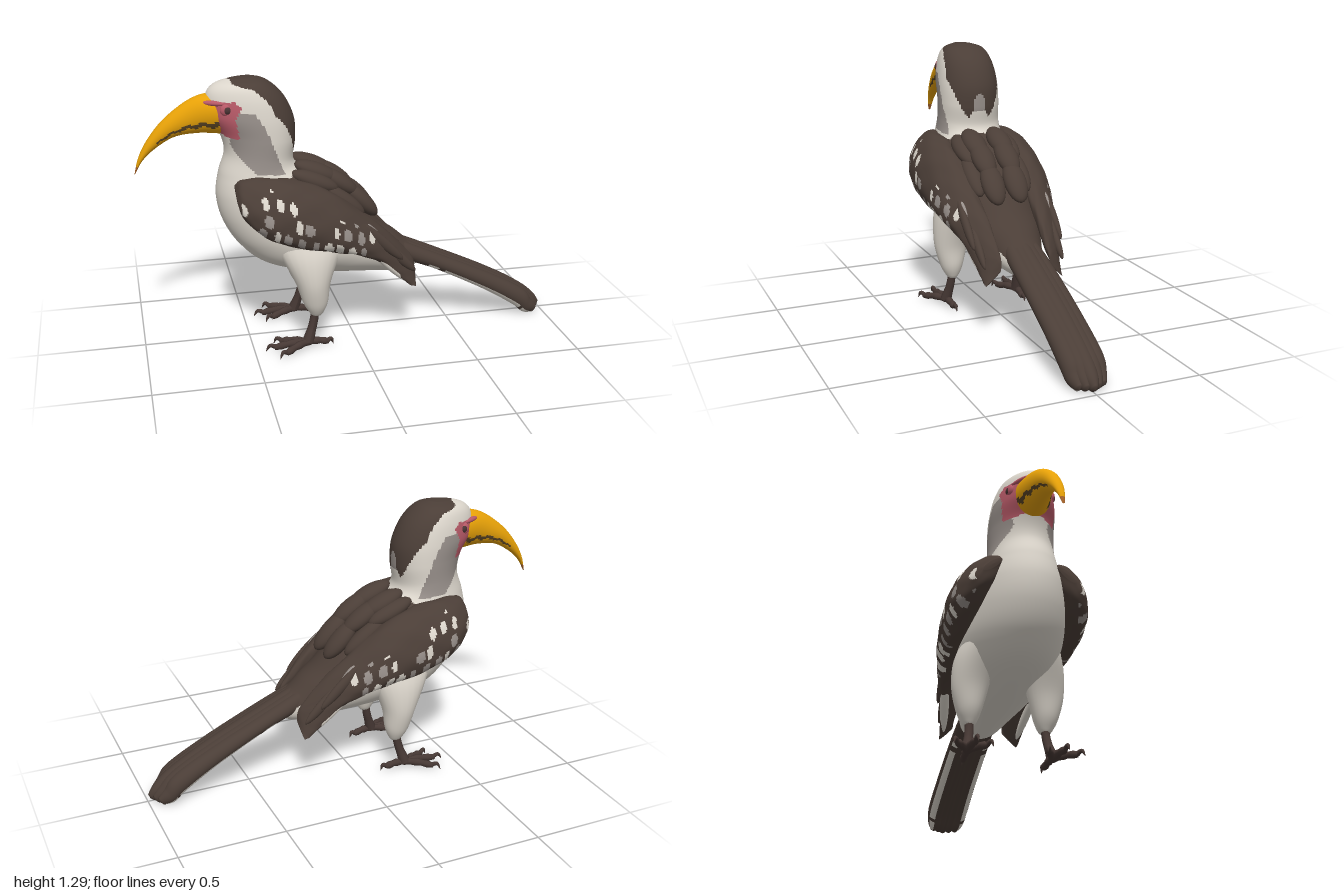
import * as THREE from 'three';

const mat = (name, color) => Object.assign(new THREE.MeshStandardMaterial({ color }), { name });

// Point-in-polygon test on the side profile (x, y)
function inside(poly, x, y) {
  let hit = false;
  for (let i = 0, j = poly.length - 1; i < poly.length; j = i++) {
    const [ax, ay] = poly[i], [bx, by] = poly[j];
    if ((ay > y) !== (by > y) && x < (bx - ax) * (y - ay) / (by - ay) + ax) hit = !hit;
  }
  return hit;
}

// Seeded hash for the speckles
const hash = (i, j) => {
  const s = Math.sin(i * 127.1 + j * 311.7) * 43758.5453;
  return s - Math.floor(s);
};

// Smooth skin over oval sections [ax, ay, bx, by, halfWidth, zCentre].
// a and b are opposite outline points; paint(x, y, z, t, angle) picks a material index.
function loft(name, sections, materials, { rings = 40, sides = 24, side = 1, egg = () => 0, tilt = 0, bump = () => 1, paint = () => 0 } = {}) {
  const curve = f => new THREE.CatmullRomCurve3(sections.map(f), false, 'catmullrom', 0.5);
  const A = curve(s => new THREE.Vector3(s[0], s[1], s[4]));
  const B = curve(s => new THREE.Vector3(s[2], s[3], s[5] ?? 0));
  const pos = [], faces = materials.map(() => []);
  for (let i = 0; i <= rings; i++) {
    const t = i / rings, p = A.getPoint(t), q = B.getPoint(t);
    const closed = i === 0 || i === rings ? 0 : 1;
    for (let j = 0; j < sides; j++) {
      const a = j / sides * Math.PI * 2, k = closed * bump(t, a);
      const c = Math.cos(a) * k, s = Math.sin(a) * k;
      pos.push((p.x + q.x + (p.x - q.x) * c) / 2, (p.y + q.y + (p.y - q.y) * c) / 2,
        side * (q.z + p.z * s * (1 - egg(t) * c) - tilt * c));
    }
  }
  const v = k => new THREE.Vector3(...pos.slice(k * 3, k * 3 + 3));
  let volume = 0;
  for (let i = 0; i < rings; i++) for (let j = 0; j < sides; j++) {
    const n = (j + 1) % sides, a = i * sides + j, b = i * sides + n, c = a + sides, d = b + sides;
    const va = v(a), vb = v(b), vc = v(c), vd = v(d);
    volume += va.dot(vb.clone().cross(vc)) + vb.dot(vd.clone().cross(vc));
    const m = va.add(vb).add(vc).add(vd).multiplyScalar(0.25);
    faces[paint(m.x, m.y, m.z * side, (i + 0.5) / rings, (j + 0.5) / sides * Math.PI * 2)].push([a, b, c], [b, d, c]);
  }
  const g = new THREE.BufferGeometry(), index = [];
  faces.forEach((list, k) => {
    g.addGroup(index.length, list.length * 3, k);
    list.forEach(([a, b, c]) => index.push(...(volume < 0 ? [a, c, b] : [a, b, c])));
  });
  g.setAttribute('position', new THREE.Float32BufferAttribute(pos, 3));
  g.setIndex(index);
  g.computeVertexNormals();
  return Object.assign(new THREE.Mesh(g, materials), { name });
}

// Tube whose radius follows a list of values
function taper(name, points, radii, material) {
  const curve = new THREE.CatmullRomCurve3(points.map(p => new THREE.Vector3(...p)));
  const n = 20, sides = 10, g = new THREE.TubeGeometry(curve, n, 1, sides);
  const P = g.attributes.position, v = new THREE.Vector3();
  for (let k = 0; k < P.count; k++) {
    const t = Math.floor(k / (sides + 1)) / n, c = curve.getPointAt(t);
    const f = t * (radii.length - 1), i = Math.min(Math.floor(f), radii.length - 2);
    v.fromBufferAttribute(P, k).sub(c).multiplyScalar(THREE.MathUtils.lerp(radii[i], radii[i + 1], f - i)).add(c);
    P.setXYZ(k, v.x, v.y, v.z);
  }
  g.computeVertexNormals();
  return Object.assign(new THREE.Mesh(g, material), { name });
}

function blob(name, material, p, scale, slope = 0) {
  const m = new THREE.Mesh(new THREE.SphereGeometry(1, 24, 16), material);
  m.position.set(...p); m.scale.set(...scale); m.rotation.z = slope; m.name = name;
  return m;
}

export function createModel() {
  const bird = new THREE.Group();
  bird.name = 'bird';
  const cream = mat('cream plumage', 0xdcd6cc), brown = mat('dark brown plumage', 0x4b3e37);
  const grey = mat('grey plumage', 0x968e89), pink = mat('pink skin', 0xb85a68);
  const yellow = mat('yellow bill', 0xe8a208), rust = mat('rust bill tip', 0xa8642a);
  const gape = mat('dark bill line', 0x5a4424), eyeDark = mat('dark eye', 0x4a3434);
  const leg = mat('brown leg', 0x463834);

  // Head, neck and trunk in one skin, painted by side-profile patches
  const cap = [[-0.57, 1.34], [-0.55, 1.272], [-0.46, 1.25], [-0.4, 1.2], [-0.36, 1.12], [-0.33, 1.03], [-0.3, 0.945], [-0.2, 0.945], [-0.2, 1.34]];
  const cheek = [[-0.57, 1.15], [-0.46, 1.15], [-0.41, 1.07], [-0.365, 0.95], [-0.33, 0.86], [-0.46, 0.87], [-0.54, 0.95], [-0.57, 1]];
  const face = [[-0.72, 1.21], [-0.64, 1.195], [-0.6, 1.2], [-0.545, 1.2], [-0.515, 1.175], [-0.545, 1.12], [-0.53, 1.03], [-0.57, 1.03], [-0.72, 1.08]];
  const mantle = [[-0.24, 0.875], [-0.35, 0.82], [-0.05, 0.6], [0.2, 0.43], [0.34, 0.36], [0.5, 0.3], [0.5, 0.6], [0, 0.95]];
  bird.add(loft('body', [
    [-0.56, 1.287, -0.45, 1.293, 0.03], [-0.63, 1.262, -0.38, 1.268, 0.095], [-0.665, 1.215, -0.31, 1.2, 0.128],
    [-0.665, 1.13, -0.265, 1.1, 0.146], [-0.61, 1.04, -0.26, 1.0, 0.15], [-0.59, 0.95, -0.27, 0.9, 0.152],
    [-0.62, 0.85, -0.22, 0.85, 0.165], [-0.635, 0.74, -0.1, 0.8, 0.2], [-0.61, 0.62, 0, 0.7, 0.225],
    [-0.54, 0.5, 0.08, 0.62, 0.235], [-0.42, 0.4, 0.15, 0.55, 0.22], [-0.2, 0.34, 0.22, 0.5, 0.18],
    [0.05, 0.31, 0.28, 0.45, 0.13], [0.25, 0.29, 0.34, 0.42, 0.085], [0.36, 0.33, 0.38, 0.39, 0.04]],
  [cream, brown, grey, pink], {
    rings: 180, sides: 110, egg: t => 0.3 * Math.max(0, 1 - t * 2.2),
    paint: (x, y, z) => {
      const w = Math.abs(z);
      if (inside(face, x, y)) return 3;
      // pale nape notch, and a cap that rounds off down the neck
      if (x > -0.32 && y > 0.93 && w < Math.min(0.026, 1.07 - y) + Math.max(0, 0.99 - y) * 0.6) return y > 0.98 ? 2 : 0;
      if (inside(cap, x, y) && w < 0.03 + 0.105 * Math.sqrt(Math.max(0, y - 0.94) / 0.2)) return 1;
      if (inside(mantle, x, y)) return 1;
      return inside(cheek, x, y) ? 2 : 0;
    },
  }));

  // Curved bill with a broken dark mouth line and rusty tip
  bird.add(loft('bill', [
    [-0.58, 1.21, -0.51, 1.07, 0.1], [-0.66, 1.222, -0.575, 1.035, 0.083], [-0.75, 1.192, -0.7, 1.042, 0.057],
    [-0.86, 1.11, -0.81, 1.03, 0.042], [-0.935, 1.02, -0.9, 0.98, 0.029], [-0.978, 0.94, -0.96, 0.925, 0.017],
    [-1, 0.86, -0.997, 0.862, 0.005]],
  [yellow, gape, rust], {
    rings: 80, sides: 56,
    paint: (x, y, z, t, a) => {
      if (t > 0.91) return 2;
      const line = Math.cos(a) + 0.4 + 0.06 * Math.sin(t * 60);
      return t < 0.62 && Math.abs(line) < 0.13 ? 1 : 0;
    },
  }));

  // Tail of five broadly overlapping feathers, outer ones edged in cream
  for (let i = -2; i <= 2; i++) {
    const o = Math.abs(i), d = o * 0.006, e = o * 0.016, z = i * 0.027;
    bird.add(loft('tailFeather', [
      [0.1, 0.53 - d, 0.1, 0.5 - d, 0.025, z * 0.7], [0.25, 0.465 - d, 0.22, 0.39 - d, 0.04, z * 0.9],
      [0.45, 0.375 - d, 0.42, 0.305 - d, 0.044, z], [0.7, 0.258 - d, 0.67, 0.175 - d, 0.046, z * 1.02],
      [0.88, 0.158 - d, 0.83, 0.075 - d, 0.046, z * 1.05], [0.965 - e, 0.088 - d / 2, 0.92 - e, 0.015, 0.036, z * 1.05],
      [1 - e, 0.035, 0.975 - e, 0.005, 0.012, z * 1.05]],
    [brown, cream], {
      rings: 50, sides: 24,
      paint: (x, y, zz, t, a) => o === 2 && t > 0.3 && Math.cos(a) < -0.6 && Math.cos(a) > -0.93
        && Math.sin(a) * i > 0 && hash(Math.floor(t * 50), 3) > 0.2 ? 1 : 0,
    }));
  }

  const wingPaint = (x, y, z, t, a) => {
    if (Math.sin(a) < 0.05 || x < -0.545 || x > 0.1 || y > 0.83 - 0.5 * Math.max(0, x + 0.42)) return 0;
    // jittered oval spots in staggered, slanted rows
    const w = (y + 0.3 * x) / 0.076, j = Math.floor(w), u = x / 0.06 + j * 0.37, i = Math.floor(u), h = hash(i, j);
    if (h < 0.2) return 0;
    const du = (u - i - 0.36 - 0.28 * hash(j, i + 9)) / (0.17 + 0.2 * h), dw = (w - j - 0.4 - 0.2 * hash(i + 5, j)) / (0.3 + 0.14 * hash(i, j + 7));
    return du * du + dw * dw < 1 ? (hash(i + 3, j) > 0.7 ? 2 : 1) : 0;
  };

  for (const s of [1, -1]) {
    const side = new THREE.Group();
    side.name = s > 0 ? 'leftSide' : 'rightSide';
    bird.add(side);

    // Folded wing with scalloped feather relief
    side.add(loft('wing', [
      [-0.565, 0.82, -0.56, 0.76, 0.02, 0.17], [-0.53, 0.85, -0.535, 0.69, 0.06, 0.19], [-0.42, 0.86, -0.45, 0.61, 0.09, 0.215],
      [-0.28, 0.84, -0.32, 0.55, 0.098, 0.222], [-0.12, 0.77, -0.12, 0.505, 0.088, 0.215], [0.02, 0.66, 0, 0.47, 0.07, 0.2],
      [0.15, 0.55, 0.1, 0.42, 0.05, 0.18], [0.25, 0.44, 0.19, 0.34, 0.033, 0.165], [0.285, 0.39, 0.255, 0.28, 0.018, 0.16],
      [0.295, 0.34, 0.285, 0.27, 0.005, 0.16]],
    [brown, cream, grey], {
      side: s, rings: 150, sides: 84, tilt: 0.035, paint: wingPaint,
      bump: (t, a) => 1 + 0.02 * Math.sin(a * 7 + t * 12) * Math.sin(t * 45),
    }));

    // Flight feathers, and the pale feather along their lower edge
    for (let i = 0; i < 2; i++) {
      side.add(blob('flightFeather', brown, [0.1 + i * 0.07, 0.53 - i * 0.075, s * (0.222 - i * 0.025)], [0.15, 0.026, 0.02], -0.76));
    }
    const pale = blob('paleFeather', cream, [0.135, 0.405, s * 0.207], [0.155, 0.019, 0.022], -0.78);
    pale.rotation.y = s * 0.22;
    side.add(pale);

    // Pale grey edge on the upper wing feathers
    side.add(blob('greyFeatherEdge', grey, [0.07, 0.565, s * 0.212], [0.075, 0.02, 0.02], -0.85));

    // Shoulder feathers overlapping down the back
    [[-0.17, 0.84], [-0.07, 0.785], [0.04, 0.685]].forEach(([x, y], i) => {
      side.add(blob('backFeather', brown, [x, y, s * (0.066 - i * 0.004)], [0.115, 0.042, 0.056], -0.4 - i * 0.2));
    });
    side.add(blob('backFeather', brown, [-0.19, 0.81, s * 0.115], [0.12, 0.04, 0.05], -0.4));
    side.add(blob('backFeather', brown, [-0.06, 0.71, s * 0.12], [0.13, 0.04, 0.045], -0.65));

    // Eye in its bare skin, with a pink brow over the bill base
    side.add(blob('eyelid', pink, [-0.577, 1.163, s * 0.095], [0.034, 0.03, 0.018]));
    side.add(blob('eye', eyeDark, [-0.577, 1.163, s * 0.101], [0.02, 0.02, 0.016]));
    const brow = blob('brow', pink, [-0.635, 1.19, s * 0.066], [0.06, 0.012, 0.014]);
    brow.rotation.y = s * -0.5;
    side.add(brow);

    // Feathered thigh
    side.add(loft('thigh', [
      [-0.42, 0.58, 0, 0.58, 0.07, 0.14], [-0.36, 0.46, -0.08, 0.46, 0.09, 0.163], [-0.3, 0.34, -0.13, 0.34, 0.083, 0.178],
      [-0.265, 0.235, -0.145, 0.235, 0.058, 0.18], [-0.235, 0.18, -0.165, 0.18, 0.034, 0.178], [-0.22, 0.16, -0.18, 0.16, 0.015, 0.178]],
    [cream], { side: s, rings: 30 }));

    // Shank, toes and claws
    side.add(taper('shank', [[-0.2, 0.22, s * 0.175], [-0.215, 0.13, s * 0.18], [-0.245, 0.035, s * 0.195]], [0.022, 0.02, 0.021, 0.028], leg));
    for (const [x, z] of [[-0.45, 0.2], [-0.395, 0.292], [-0.4, 0.12], [-0.12, 0.185]]) {
      const at = (f, y) => [-0.245 + (x + 0.245) * f, y, s * (0.195 + (z - 0.195) * f)];
      side.add(taper('toe', [at(0, 0.035), at(0.4, 0.034), at(0.8, 0.022)], [0.02, 0.016, 0.019, 0.015, 0.018, 0.012], leg));
      side.add(taper('claw', [at(0.74, 0.024), at(0.9, 0.034), at(1, 0.006)], [0.012, 0.009, 0.001], leg));
    }
  }
  return bird;
}
